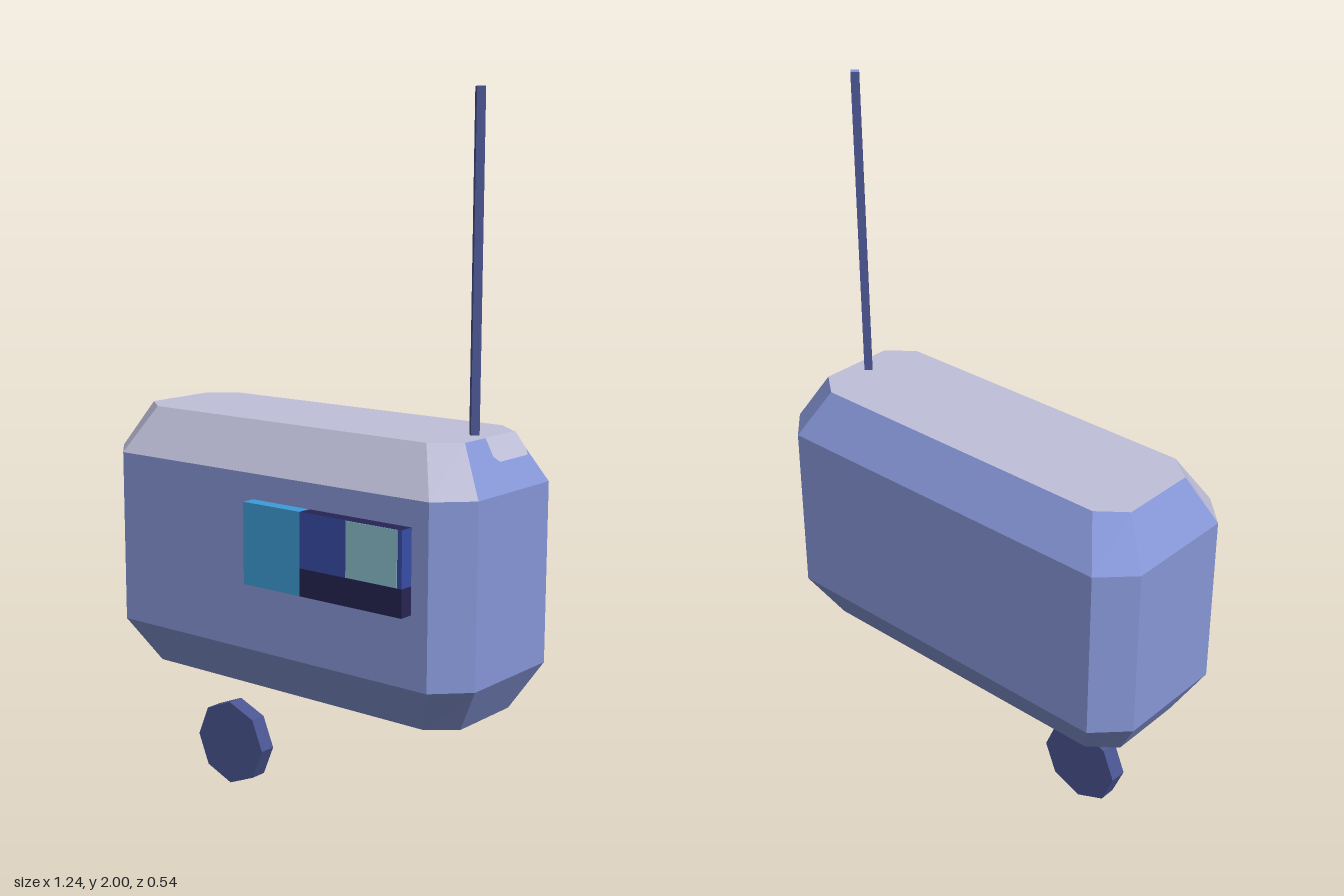
import * as THREE from 'three';

const mat = (name, color, side = THREE.FrontSide) => {
  const m = new THREE.MeshStandardMaterial({ color, side });
  m.name = name;
  return m;
};

export function createModel() {
  const model = new THREE.Group();
  model.name = 'device';
  const blue = mat('bodyBlue', 0x8797d8);
  const grey = mat('paleGrey', 0xbfc0d9);
  const slate = mat('slateBlue', 0x4b5692);
  const sky = mat('skyBlue', 0x3e9cd8);
  const royal = mat('royalBlue', 0x384da8);
  const navy = mat('darkNavy', 0x272552);
  const teal = mat('paleTeal', 0x8cc0d0);
  const midZ = -0.021;

  const add = (name, geometry, material, x = 0, y = 0, z = 0) => {
    const mesh = new THREE.Mesh(geometry, material);
    mesh.name = name;
    mesh.position.set(x, y, z);
    model.add(mesh);
    return mesh;
  };
  const box = (name, x0, x1, y0, y1, z0, z1, material) =>
    add(name, new THREE.BoxGeometry(x1 - x0, y1 - y0, z1 - z0), material,
      (x0 + x1) / 2, (y0 + y1) / 2, (z0 + z1) / 2);

  // Flat-faced surface from polygons wound counter-clockwise
  const facets = (polygons) => {
    const pos = [];
    for (const p of polygons)
      for (let i = 1; i < p.length - 1; i++) pos.push(...p[0], ...p[i], ...p[i + 1]);
    const g = new THREE.BufferGeometry();
    g.setAttribute('position', new THREE.Float32BufferAttribute(pos, 3));
    g.computeVertexNormals();
    return g;
  };

  // Octagonal ring with cut corners; side 0 is the front, running round to +x
  const ring = (y, hx, hz, cx, cz) => [
    [-cx, hz], [cx, hz], [hx, cz], [hx, -cz],
    [cx, -hz], [-cx, -hz], [-hx, -cz], [-hx, cz],
  ].map(([x, z]) => [x, y, z + midZ]);

  const rings = [
    ring(0.38, 0.545, 0.172, 0.47, 0.1125),
    ring(0.51, 0.622, 0.249, 0.535, 0.1625),
    ring(1.0, 0.622, 0.249, 0.535, 0.1625),
    ring(1.13, 0.545, 0.172, 0.47, 0.1125),
  ];
  const shell = [[...rings[0]].reverse()];
  const cover = [rings[3]];
  for (let k = 0; k < 3; k++) {
    for (let i = 0; i < 8; i++) {
      const j = (i + 1) % 8;
      const face = [rings[k][i], rings[k][j], rings[k + 1][j], rings[k + 1][i]];
      // The pale cover takes in the front bevel and both front corners
      (k === 2 && [0, 1, 7].includes(i) ? cover : shell).push(face);
    }
  }
  add('bodyShell', facets(shell), blue);
  add('topCover', facets(cover), grey);

  // Pale patch on the upper left bevel
  const patch = [[1.13, 0.005], [1.085, 0.008], [1.07, -0.01], [1.07, -0.14], [1.085, -0.145], [1.13, -0.133]]
    .map(([y, z]) => [0.548 + (1.13 - y) * 0.592, y + 0.002, z]);
  add('bevelPatch', facets([patch]), grey);

  // Antenna: four-sided rod
  add('antenna', new THREE.CylinderGeometry(0.016, 0.016, 0.9, 4).toNonIndexed(),
    [slate, blue, slate], 0.497, 1.55, midZ);
  const rod = model.getObjectByName('antenna').geometry;
  rod.computeVertexNormals();

  // Loose round knob below the body
  const knob = new THREE.CylinderGeometry(0.125, 0.125, 0.05, 8).toNonIndexed();
  knob.rotateX(Math.PI / 2);
  knob.computeVertexNormals();
  add('knob', knob, slate, -0.315, 0.125, 0.006);

  // Raised display block on the front
  box('displayLeft', -0.04, 0.155, 0.705, 0.93, 0.2, 0.268, sky);
  box('displayBase', 0.155, 0.484, 0.705, 0.78, 0.2, 0.268, navy);
  box('displayScreen', 0.155, 0.484, 0.78, 0.93, 0.2, 0.268,
    [royal, royal, navy, navy, royal, royal]);
  box('displayLight', 0.308, 0.47, 0.781, 0.929, 0.267, 0.27, teal);

  return model;
}
